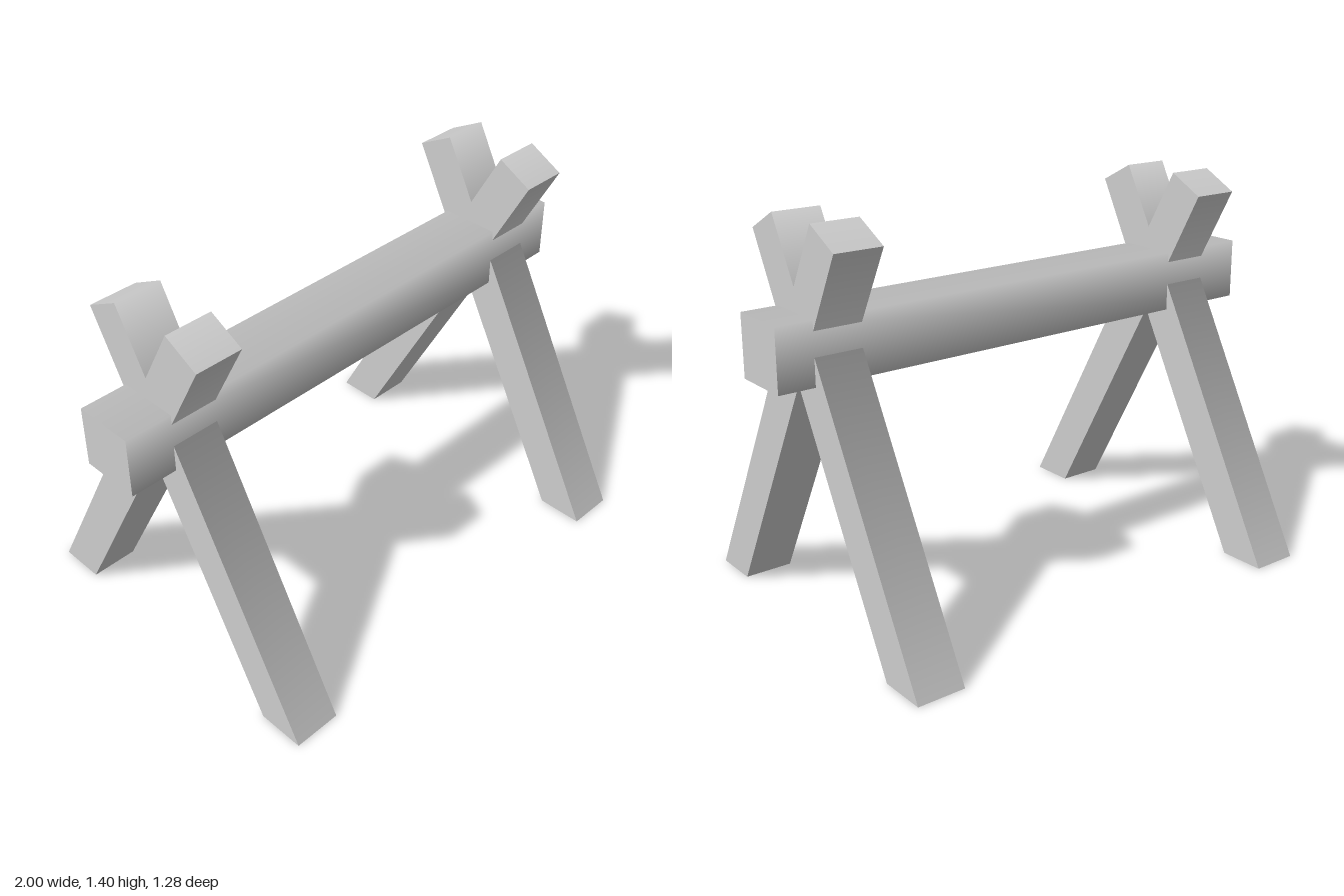
import * as THREE from 'three';
import { mergeGeometries } from 'three/addons/utils/BufferGeometryUtils.js';

// Crossed pair of legs: an X outline given thickness, with selected corners shaded smooth
function crossedLegsGeometry(thickness) {
  const h = thickness / 2;
  // Right half, foot to top notch: x, y, smooth corner
  const half = [
    [0.468, 0, false], [0.641, 0, false], [0.087, 1.02, true],
    [0.252, 1.33, false], [0.119, 1.4, true],
  ];
  const mirrored = half.map(([x, y, s]) => [-x, y, s]).reverse();
  const outline = [...half, [0, 1.182, false], ...mirrored, [0, 0.861, false]];
  const n = outline.length;

  const edgeNormal = outline.map(([x, y], i) => {
    const [x2, y2] = outline[(i + 1) % n];
    return new THREE.Vector2(y2 - y, x - x2).normalize();
  });
  const cornerNormal = (corner, edge) => outline[corner][2]
    ? edgeNormal[corner].clone().add(edgeNormal[(corner + n - 1) % n]).normalize()
    : edgeNormal[edge];

  // Rim, one quad per outline edge
  const position = [], normal = [], uv = [], index = [];
  for (let i = 0; i < n; i++) {
    const j = (i + 1) % n;
    for (const [k, z] of [[i, -h], [j, -h], [j, h], [i, h]]) {
      const nk = cornerNormal(k, i);
      position.push(outline[k][0], outline[k][1], z);
      normal.push(nk.x, nk.y, 0);
      uv.push(0, 0);
    }
    const b = i * 4;
    index.push(b, b + 1, b + 2, b, b + 2, b + 3);
  }
  const rim = new THREE.BufferGeometry();
  rim.setAttribute('position', new THREE.Float32BufferAttribute(position, 3));
  rim.setAttribute('normal', new THREE.Float32BufferAttribute(normal, 3));
  rim.setAttribute('uv', new THREE.Float32BufferAttribute(uv, 2));
  rim.setIndex(index);

  // Flat faces on both sides
  const shape = new THREE.Shape(outline.map(([x, y]) => new THREE.Vector2(x, y)));
  const face = new THREE.ShapeGeometry(shape).translate(0, 0, h);
  const back = face.clone().rotateY(Math.PI);
  return mergeGeometries([rim, face, back]).rotateY(Math.PI / 2);
}

export function createModel() {
  const model = new THREE.Group();
  model.name = 'trestle';
  const grey = new THREE.MeshStandardMaterial({ color: 0xcccccc });
  grey.name = 'light grey';

  // Square beam with softly shaded long edges
  const beam = new THREE.Mesh(
    new THREE.CylinderGeometry(0.11 * Math.SQRT2, 0.11 * Math.SQRT2, 2, 4, 1, false, Math.PI / 4)
      .rotateZ(Math.PI / 2),
    grey,
  );
  beam.name = 'beam';
  beam.position.y = 0.99;
  model.add(beam);

  // Crossed legs near each end
  const legs = crossedLegsGeometry(0.176);
  for (const [name, x] of [['rightLegs', -0.74], ['leftLegs', 0.78]]) {
    const mesh = new THREE.Mesh(legs, grey);
    mesh.name = name;
    mesh.position.x = x;
    model.add(mesh);
  }
  return model;
}
